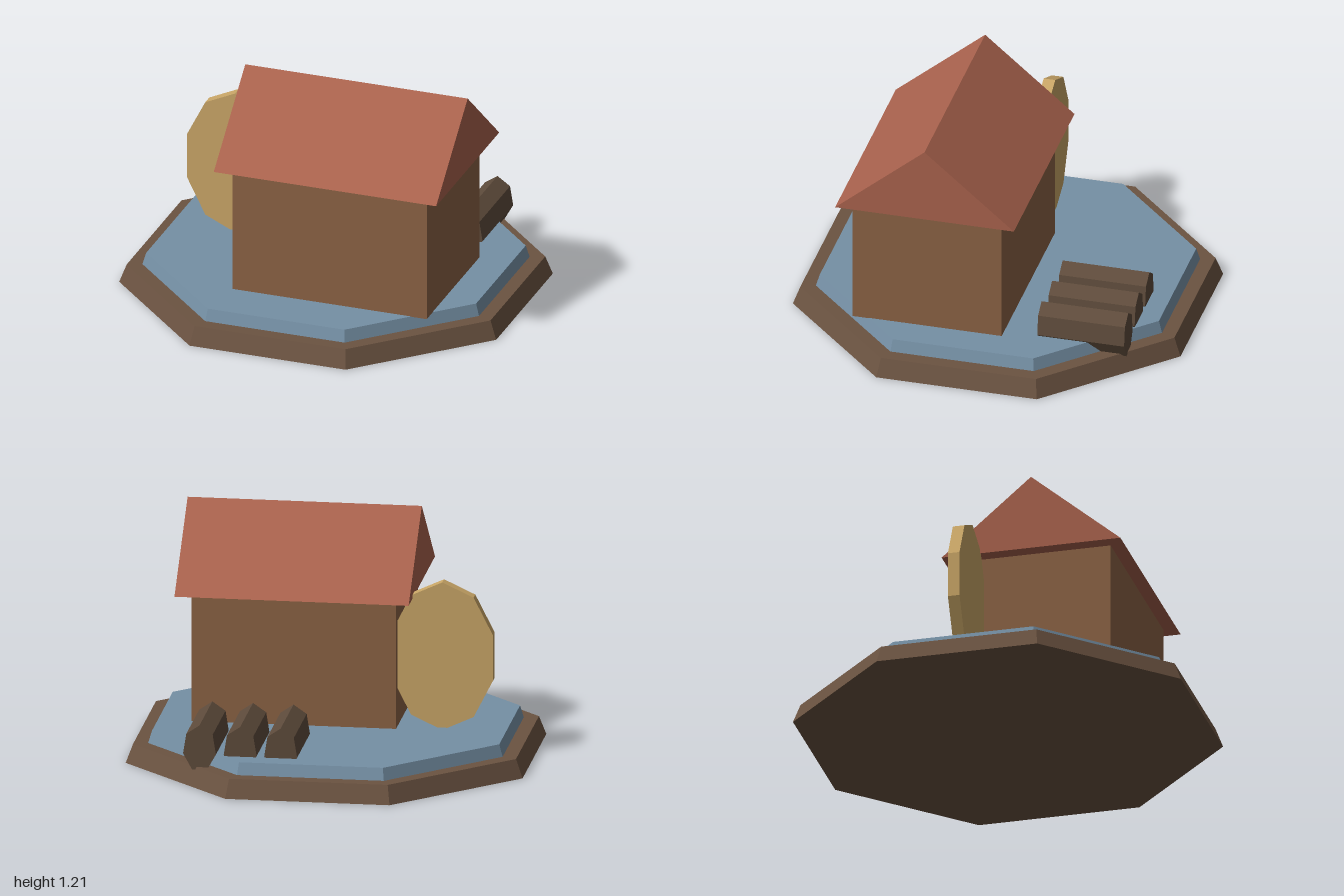
import * as THREE from 'three';

const flat = (name, color) => {
  const m = new THREE.MeshStandardMaterial({ color, flatShading: true });
  m.name = name;
  return m;
};

export function createModel() {
  const group = new THREE.Group();
  const earth = flat('earth brown', 0x6b5341);
  const water = flat('water blue', 0x7590a5);
  const wall = flat('wall brown', 0x8b6244);
  const roofRed = flat('roof red', 0xa9624d);
  const straw = flat('wheel tan', 0xc8a566);
  const bark = flat('log brown', 0x5e4b3b);

  const add = (name, geometry, material, x, y, z) => {
    const mesh = new THREE.Mesh(geometry, material);
    mesh.name = name;
    mesh.position.set(x, y, z);
    group.add(mesh);
    return mesh;
  };

  // Octagonal slab with sloped sides, sized by its flat-to-centre distances
  const octagon = (top, bottom, height) => {
    const k = 1 / Math.cos(Math.PI / 8);
    return new THREE.CylinderGeometry(top * k, bottom * k, height, 8).rotateY(Math.PI / 8);
  };

  // Squashed polygon prism lying along z, with one corner pointing up
  const prism = (sides, rx, ry, length) =>
    new THREE.CylinderGeometry(1, 1, length, sides).rotateX(-Math.PI / 2).scale(rx, ry, 1);

  // Ground and pond
  add('base', octagon(0.965, 1, 0.095), earth, 0, 0.0475, 0);
  add('pond', octagon(0.875, 0.893, 0.062), water, 0, 0.126, 0);

  // House body
  add('houseWalls', new THREE.BoxGeometry(1.03, 0.665, 0.77), wall, 0.19, 0.4875, 0.23);

  // Gable roof, with its ridge along x
  const gable = new THREE.Shape();
  gable.moveTo(-0.461, 0);
  gable.lineTo(0.461, 0);
  gable.lineTo(0, 0.39);
  gable.closePath();
  const roof = new THREE.ExtrudeGeometry(gable, { depth: 1.18, bevelEnabled: false });
  roof.translate(0, 0, -0.59).rotateY(Math.PI / 2);
  add('roof', roof, roofRed, 0.19, 0.82, 0.224);

  // Mill wheel beside the house
  add('millWheel', prism(10, 0.268, 0.382, 0.06), straw, -0.55, 0.527, -0.068);

  // Row of logs behind the house
  for (const x of [0.167, 0.371, 0.576]) {
    add('log', prism(7, 0.085, 0.121, 0.448), bark, x, 0.19, -0.55);
  }

  return group;
}
